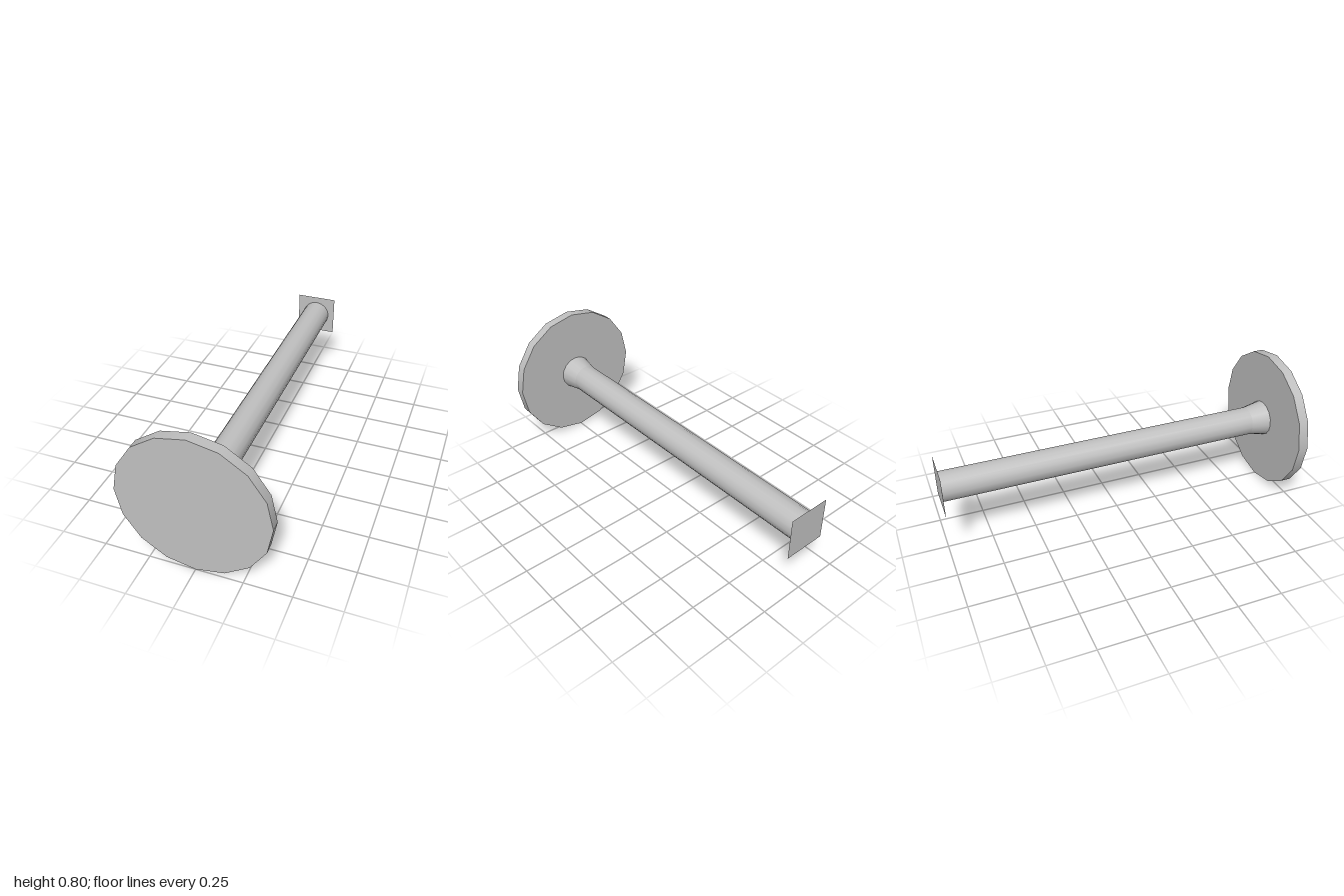
import * as THREE from 'three';

const RADIUS = 0.402; // flange radius, also the height of the axis
const SIDES = 16;

export function createModel() {
  const grey = new THREE.MeshStandardMaterial({ color: 0xc0c0c0, side: THREE.DoubleSide });
  grey.name = 'grey metal';
  const model = new THREE.Group();
  model.name = 'flangedShaft';

  // Round section along z, from zBack to zFront
  const addRound = (name, rFront, rBack, zBack, zFront, open) => {
    const geometry = new THREE.CylinderGeometry(rFront, rBack, zFront - zBack, SIDES, 1, open);
    geometry.rotateX(Math.PI / 2);
    const mesh = new THREE.Mesh(geometry, grey);
    mesh.name = name;
    mesh.position.set(0, RADIUS, (zBack + zFront) / 2);
    model.add(mesh);
  };

  addRound('flange', RADIUS, RADIUS, 0.943, 1, false);
  addRound('collar', 0.103, 0.083, 0.835, 0.943, true);
  addRound('shaft', 0.083, 0.083, -1, 0.835, true);

  // Thin square sheet closing the back end
  const endPlate = new THREE.Mesh(new THREE.PlaneGeometry(0.24, 0.24).rotateY(Math.PI), grey);
  endPlate.name = 'endPlate';
  endPlate.position.set(0, RADIUS, -1);
  model.add(endPlate);

  return model;
}
